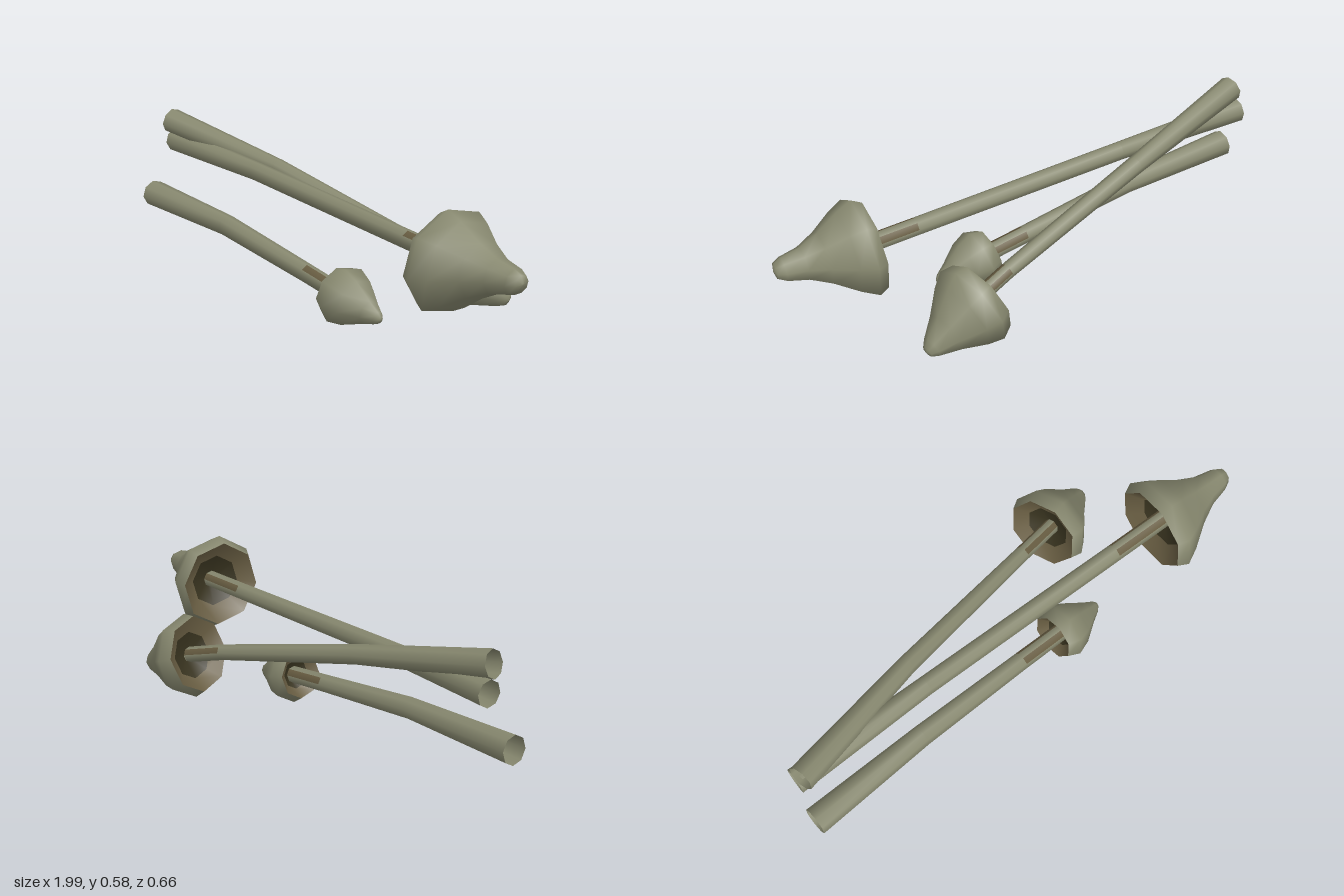
import * as THREE from 'three';

const SIDES = 8;
const ROLL = 0.14;

const flesh = new THREE.MeshStandardMaterial({ name: 'olive flesh', color: 0x87886f, side: THREE.DoubleSide });
const gill = new THREE.MeshStandardMaterial({ name: 'gill brown', color: 0x685d42, side: THREE.DoubleSide });
const shade = new THREE.MeshStandardMaterial({ name: 'deep gill brown', color: 0x38331f, side: THREE.DoubleSide });

// Skin eight-sided rings [x, y, z, radius] set square to dir; paint(i, side) picks the material slot.
function loft(rings, dir, materials, paint = () => 0) {
  const d = new THREE.Vector3(...dir).normalize();
  const u = new THREE.Vector3(0, 1, 0).addScaledVector(d, -d.y).normalize();
  const w = new THREE.Vector3().crossVectors(d, u);
  const positions = [];
  for (const [x, y, z, r] of rings) {
    for (let k = 0; k < SIDES; k++) {
      const a = ROLL + (k / SIDES) * Math.PI * 2;
      const p = new THREE.Vector3(x, y, z).addScaledVector(u, r * Math.cos(a)).addScaledVector(w, r * Math.sin(a));
      positions.push(p.x, p.y, p.z);
    }
  }
  const slots = materials.map(() => []);
  for (let i = 0; i < rings.length - 1; i++) {
    for (let k = 0; k < SIDES; k++) {
      const a = i * SIDES + k, b = i * SIDES + ((k + 1) % SIDES);
      slots[paint(i, k)].push(a, b, a + SIDES, b, b + SIDES, a + SIDES);
    }
  }
  const geometry = new THREE.BufferGeometry();
  geometry.setAttribute('position', new THREE.Float32BufferAttribute(positions, 3));
  geometry.setIndex(slots.flat());
  let start = 0;
  slots.forEach((s, m) => { geometry.addGroup(start, s.length, m); start += s.length; });
  geometry.computeVertexNormals();
  return new THREE.Mesh(geometry, materials);
}

function mushroom({ name, stem, stemDir, base, tip, capDir, profile }) {
  const group = new THREE.Group();
  group.name = name;
  const at = (t, r) => [0, 1, 2].map((i) => base[i] + (tip[i] - base[i]) * t).concat(r);
  const rim = profile[0][1];
  const neck = stem[stem.length - 1][3];

  // Open hollow stem, stained brown on some sides beside the cap
  const last = stem.length - 2;
  const stalk = loft(stem, stemDir, [flesh, gill], (i, k) => (i === last && (k === 0 || k === 3 || k === 6) ? 1 : 0));
  stalk.name = 'stem';

  // Pointed cap, closed by a tiny last ring
  const cap = loft([...profile.map(([t, r]) => at(t, r)), at(1, 0.0005)], capDir, [flesh]);
  cap.name = 'cap';

  // Hollow underside: dark recess with a paler rim band
  const gills = loft([at(0.2, neck * 0.8), at(0.13, rim * 0.62), at(0, rim)], capDir, [shade, gill], (i) => i);
  gills.name = 'gills';

  group.add(stalk, cap, gills);
  return group;
}

export function createModel() {
  const model = new THREE.Group();
  model.name = 'mushrooms';
  model.add(
    mushroom({
      name: 'largeMushroom',
      stem: [[-0.96, 0.438, 0.04, 0.048], [-0.4, 0.425, 0.07, 0.036], [0.46, 0.38, 0.125, 0.034], [0.7, 0.368, 0.14, 0.034]],
      stemDir: [1, -0.05, 0.06],
      base: [0.632, 0.362, 0.142], tip: [0.993, 0.378, 0.165], capDir: [1, -0.06, 0.1],
      profile: [[0, 0.168], [0.11, 0.188], [0.27, 0.158], [0.5, 0.1], [0.7, 0.063], [0.9, 0.046], [0.98, 0.03]],
    }),
    mushroom({
      name: 'middleMushroom',
      stem: [[-0.945, 0.528, 0.07, 0.05], [-0.4, 0.418, -0.035, 0.036], [0.24, 0.252, -0.135, 0.03], [0.42, 0.195, -0.165, 0.03]],
      stemDir: [1, -0.24, -0.18],
      base: [0.365, 0.212, -0.16], tip: [0.628, 0.112, -0.218], capDir: [1, -0.33, -0.2],
      profile: [[0, 0.147], [0.17, 0.163], [0.36, 0.137], [0.65, 0.08], [0.9, 0.04], [0.98, 0.022]],
    }),
    mushroom({
      name: 'smallMushroom',
      stem: [[-0.99, 0.222, 0.142, 0.053], [-0.5, 0.2, 0.146, 0.041], [-0.02, 0.134, 0.155, 0.035], [0.18, 0.105, 0.16, 0.034]],
      stemDir: [1, -0.1, 0.01],
      base: [0.135, 0.117, 0.16], tip: [0.368, 0.066, 0.16], capDir: [1, -0.22, 0],
      profile: [[0, 0.092], [0.2, 0.112], [0.45, 0.093], [0.75, 0.048], [0.93, 0.025], [0.99, 0.012]],
    }),
  );
  return model;
}
